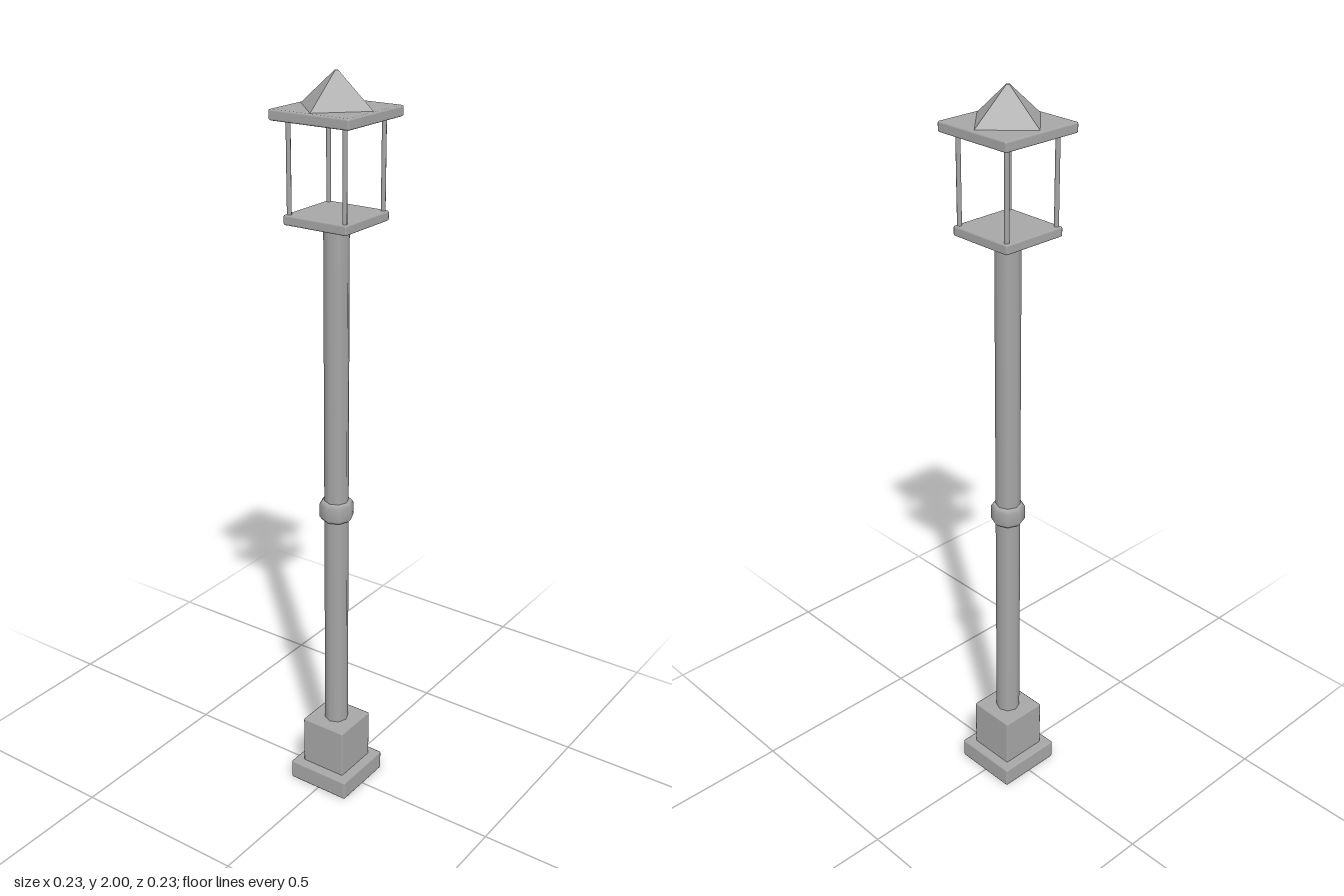
import * as THREE from 'three';
import { RoundedBoxGeometry } from 'three/addons/geometries/RoundedBoxGeometry.js';

export function createModel() {
  const group = new THREE.Group();
  group.name = 'lampPost';
  const metal = new THREE.MeshStandardMaterial({ color: 0xa6a6a6 });
  metal.name = 'grey metal';

  const add = (name, geometry, x, y, z) => {
    const mesh = new THREE.Mesh(geometry, metal);
    mesh.name = name;
    mesh.position.set(x, y, z);
    group.add(mesh);
    return mesh;
  };
  // Square slab with softened edges, between two heights
  const slab = (name, width, y0, y1, bevel) =>
    add(name, new RoundedBoxGeometry(width, y1 - y0, width, 1, bevel), 0, (y0 + y1) / 2, 0);
  // Upright round bar between two heights
  const bar = (name, radius, y0, y1, sides, x = 0, z = 0) =>
    add(name, new THREE.CylinderGeometry(radius, radius, y1 - y0, sides), x, (y0 + y1) / 2, z);

  // Stepped foot
  slab('basePlate', 0.187, 0, 0.056, 0.005);
  slab('baseBlock', 0.135, 0.054, 0.197, 0.004);

  // Pole and its collar
  bar('pole', 0.033, 0.19, 1.64, 8);
  const collar = [[0.03, 0.83], [0.039, 0.83], [0.046, 0.839], [0.046, 0.876], [0.039, 0.885], [0.03, 0.885]]
    .map(([r, y]) => new THREE.Vector2(r, y));
  add('collar', new THREE.LatheGeometry(collar, 8), 0, 0, 0);

  // Open lantern: tray, four corner posts and the roof
  slab('lanternTray', 0.187, 1.636, 1.662, 0.005);
  for (const x of [-0.082, 0.082]) {
    for (const z of [-0.082, 0.082]) bar('lanternPost', 0.006, 1.655, 1.895, 8, x, z);
  }
  slab('roofSlab', 0.232, 1.888, 1.915, 0.005);

  // Roof pyramid with its corners at the middle of each slab side
  const pyramid = new THREE.CylinderGeometry(0.005, 0.109, 0.088, 4).toNonIndexed();
  pyramid.computeVertexNormals();
  add('roofPyramid', pyramid, 0, 1.956, 0);

  return group;
}
